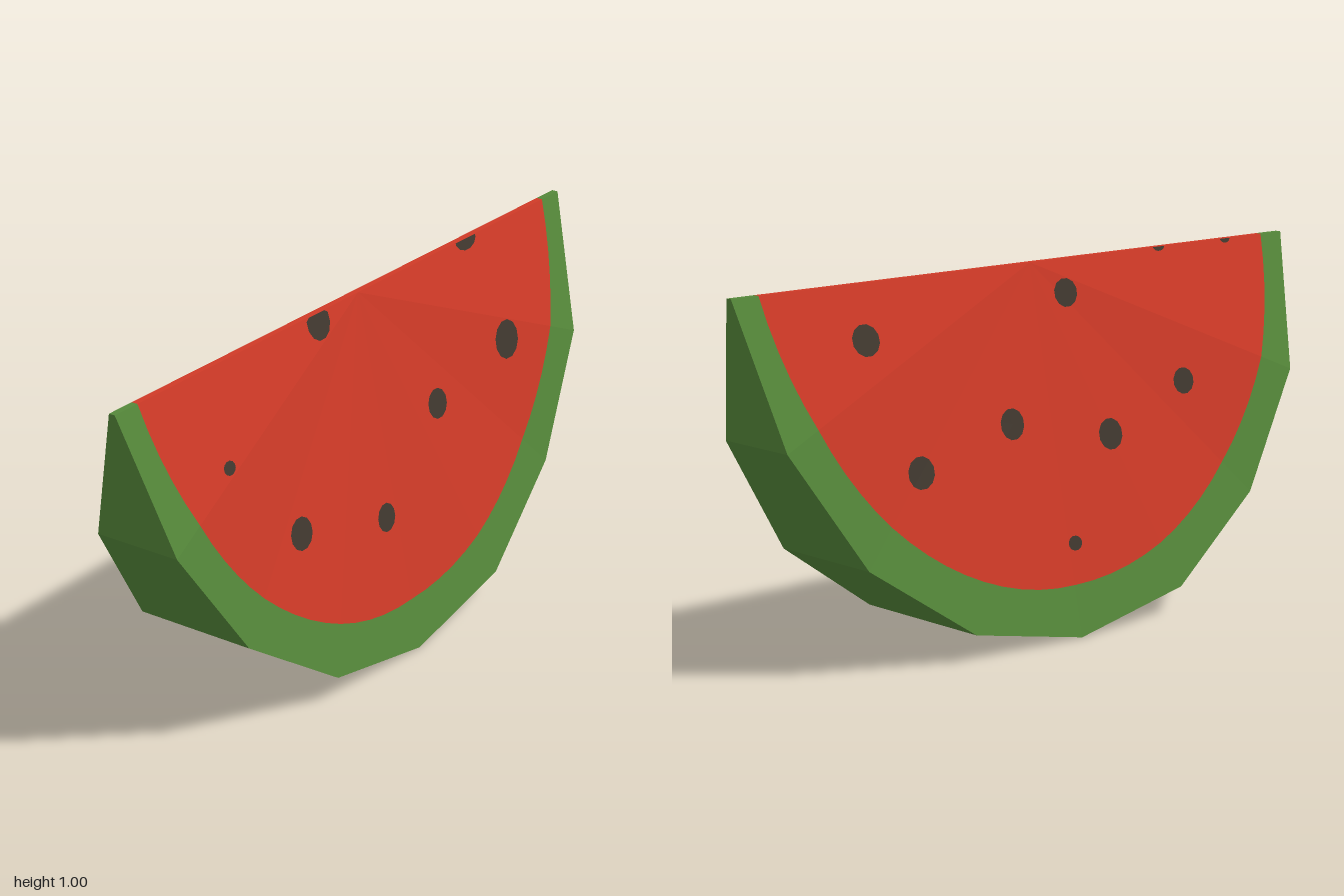
import * as THREE from 'three';

const SECTORS = 8, STEP = Math.PI / SECTORS, SUB = 5, EDGE = 0.009;
// Half thickness at each rim corner, from the top edge down to the lowest point
const HALF = [EDGE, 0.126, 0.175, 0.218, 0.218];
const halfAt = i => HALF[Math.min(i, SECTORS - i)];
const INSIDE = new THREE.Vector3(0, 0.7, 0);

const rim = (i, s) =>
  new THREE.Vector3(Math.cos(i * STEP), 1 - Math.sin(i * STEP), s * halfAt(i));

// Point on the faceted cut face at an angle below the top edge and a radius
function facePoint(angle, radius, s, lift = 0) {
  const i = Math.min(SECTORS - 1, Math.max(0, Math.floor(angle / STEP + 1e-6)));
  const d = angle - i * STEP;
  const a = radius * Math.sin(STEP - d) / Math.sin(STEP);
  const b = radius * Math.sin(d) / Math.sin(STEP);
  const z = EDGE + a * (halfAt(i) - EDGE) + b * (halfAt(i + 1) - EDGE);
  return new THREE.Vector3(radius * Math.cos(angle), 1 - radius * Math.sin(angle), s * (z + lift));
}

const fleshRadius = angle => 0.86 + 0.055 * (1 - Math.sin(angle)) ** 2;
const rimRadius = angle => {
  const d = ((angle + 1e-6) % STEP) - STEP / 2;
  return Math.cos(STEP / 2) / Math.cos(d);
};

// Collects triangles, each turned to face away from the middle of the slice
class Facets {
  constructor() { this.points = []; }
  tri(a, b, c) {
    const n = b.clone().sub(a).cross(c.clone().sub(a));
    const out = a.clone().add(b).add(c).divideScalar(3).sub(INSIDE);
    const order = n.dot(out) < 0 ? [a, c, b] : [a, b, c];
    order.forEach(p => this.points.push(p.x, p.y, p.z));
  }
  quad(a, b, c, d) { this.tri(a, b, c); this.tri(a, c, d); }
  mesh(name, material) {
    const g = new THREE.BufferGeometry();
    g.setAttribute('position', new THREE.Float32BufferAttribute(this.points, 3));
    g.computeVertexNormals();
    const m = new THREE.Mesh(g, material);
    m.name = name;
    return m;
  }
}

// Seeds: x, y, half width, half height
const FRONT_SEEDS = [
  [-0.19, 0.98, 0.048, 0.048], [0.51, 1, 0.05, 0.03], [-0.66, 0.755, 0.023, 0.018],
  [-0.42, 0.49, 0.046, 0.044], [0.25, 0.615, 0.043, 0.042],
  [0.6, 0.69, 0.053, 0.056], [-0.05, 0.395, 0.041, 0.039]
];
const BACK_SEEDS = [
  [0.61, 0.86, 0.045, 0.041], [-0.11, 0.91, 0.041, 0.039], [0.49, 0.51, 0.046, 0.043],
  [0.15, 0.59, 0.043, 0.042], [-0.2, 0.52, 0.043, 0.043], [-0.5, 0.63, 0.038, 0.037],
  [-0.02, 0.25, 0.024, 0.02], [-0.49, 1, 0.022, 0.012], [-0.76, 1, 0.02, 0.012]
];

export function createModel() {
  const green = new THREE.MeshStandardMaterial({ color: 0x55883a });
  green.name = 'rindGreen';
  const red = new THREE.MeshStandardMaterial({ color: 0xcf3a27 });
  red.name = 'fleshRed';
  const dark = new THREE.MeshStandardMaterial({ color: 0x40382f });
  dark.name = 'seedDark';

  const group = new THREE.Group();
  group.name = 'watermelonSlice';
  const skin = new Facets(), rindBand = new Facets(), flesh = new Facets(), top = new Facets();

  // Outer skin
  for (let i = 0; i < SECTORS; i++) {
    skin.quad(rim(i, 1), rim(i + 1, 1), rim(i + 1, -1), rim(i, -1));
  }

  // Cut faces: flesh fan with a rind band around it
  for (const s of [1, -1]) {
    const centre = new THREE.Vector3(0, 1, s * EDGE);
    const n = SECTORS * SUB;
    for (let k = 0; k < n; k++) {
      const a = k * Math.PI / n, b = (k + 1) * Math.PI / n;
      const fa = facePoint(a, fleshRadius(a), s), fb = facePoint(b, fleshRadius(b), s);
      flesh.tri(centre, fa, fb);
      rindBand.quad(fa, fb, facePoint(b, rimRadius(b), s), facePoint(a, rimRadius(a), s));
    }
  }

  // Narrow top edge, red with green ends
  const strip = (target, x0, x1) => target.quad(
    new THREE.Vector3(x0, 1, EDGE), new THREE.Vector3(x1, 1, EDGE),
    new THREE.Vector3(x1, 1, -EDGE), new THREE.Vector3(x0, 1, -EDGE));
  const w = fleshRadius(0);
  strip(top, -w, w);
  strip(skin, w, 1);
  strip(skin, -1, -w);

  group.add(skin.mesh('rindSkin', green), rindBand.mesh('rindBand', green),
    flesh.mesh('flesh', red), top.mesh('fleshTopEdge', red));

  // Seeds lie flat on the flesh and are trimmed at the top edge
  const addSeeds = (list, s, name) => {
    const seeds = new Facets();
    const at = (x, y) => {
      const drop = Math.max(0, 1 - y);
      return facePoint(Math.atan2(drop, x), Math.hypot(x, drop), s, 0.003);
    };
    for (const [x, y, rx, ry] of list) {
      const sides = 12;
      const ring = k => {
        const t = (k + 0.5) * 2 * Math.PI / sides;
        return at(x + rx * Math.cos(t), y + ry * Math.sin(t));
      };
      for (let k = 0; k < sides; k++) seeds.tri(at(x, y), ring(k), ring(k + 1));
    }
    group.add(seeds.mesh(name, dark));
  };
  addSeeds(FRONT_SEEDS, 1, 'frontSeeds');
  addSeeds(BACK_SEEDS, -1, 'backSeeds');

  return group;
}
